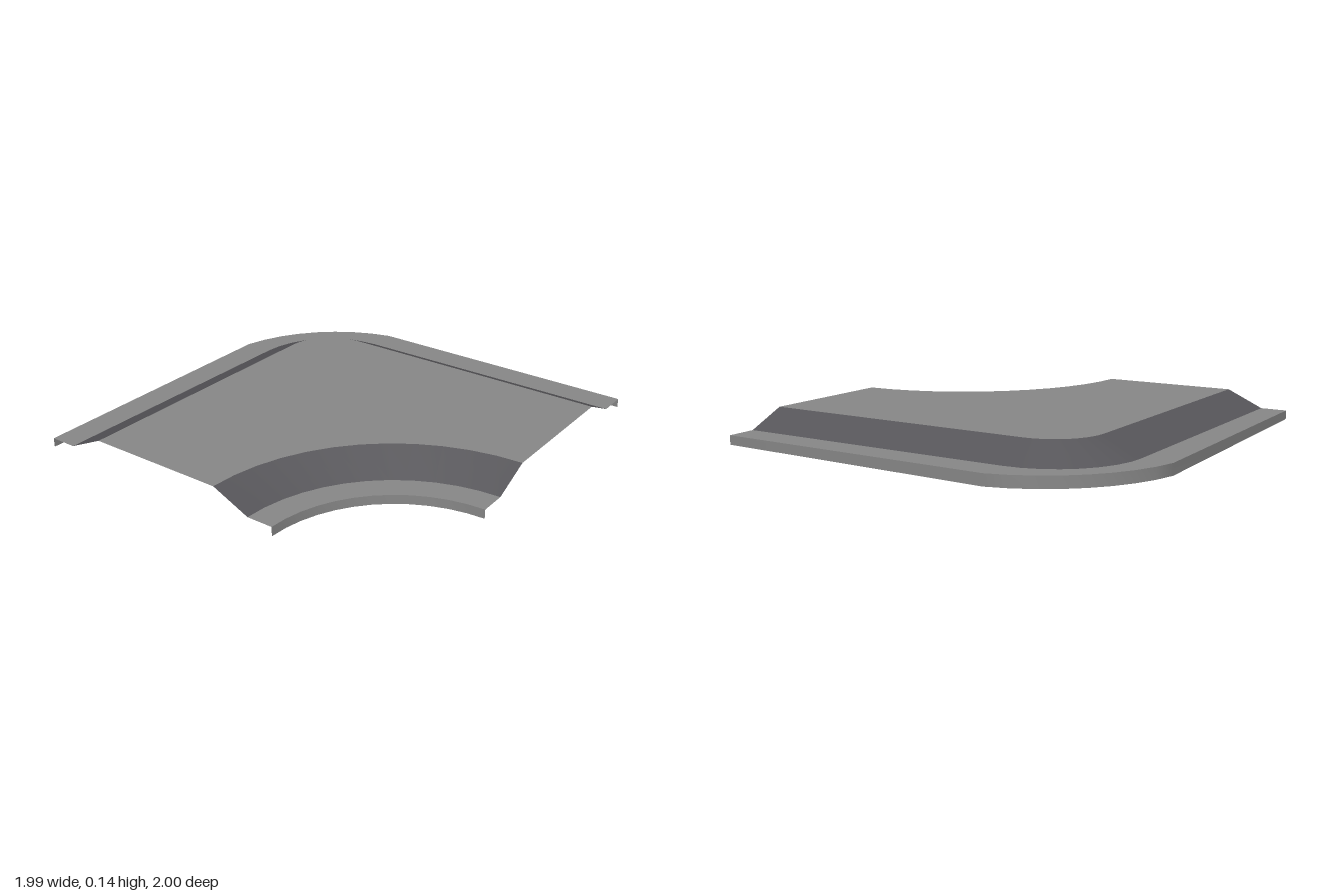
import * as THREE from 'three';

const END_X = 0.99, END_Z = 1;
const LIP_Y = 0.055, DECK_Y = 0.14;

// Points on an arc, angles in degrees measured from -x towards -z
function arc(cx, cz, r, from, to, steps, y) {
  const pts = [];
  for (let i = 0; i <= steps; i++) {
    const t = THREE.MathUtils.degToRad(from + ((to - from) * i) / steps);
    pts.push(new THREE.Vector3(cx - r * Math.cos(t), y, cz - r * Math.sin(t)));
  }
  return pts;
}

// Outer rail: straight left side, rounded back corner, straight back side
function outerRail(startX, endZ, c, r, trim, y, endY = y) {
  return [
    new THREE.Vector3(startX, endY, END_Z),
    ...arc(c, c, r, trim, 90 - trim, 8, y),
    new THREE.Vector3(END_X, endY, endZ),
  ];
}

const innerRail = (r, y) => arc(END_X, END_Z, r, 0, 90, 12, y);

// Surface between two rails with the same number of points
function strip(a, b) {
  const pos = [], index = [];
  a.forEach((p, i) => {
    pos.push(...p.toArray(), ...b[i].toArray());
    if (i < a.length - 1) {
      const k = i * 2;
      index.push(k, k + 1, k + 3, k, k + 3, k + 2);
    }
  });
  const g = new THREE.BufferGeometry();
  g.setAttribute('position', new THREE.Float32BufferAttribute(pos, 3));
  g.setIndex(index);
  g.computeVertexNormals();
  return g;
}

export function createModel() {
  const group = new THREE.Group();
  const grey = new THREE.MeshStandardMaterial({ color: 0x888888, side: THREE.DoubleSide });
  grey.name = 'light grey';
  const dark = new THREE.MeshStandardMaterial({ color: 0x565559, side: THREE.DoubleSide });
  dark.name = 'dark grey';

  const add = (name, geometry, material) => {
    const mesh = new THREE.Mesh(geometry, material);
    mesh.name = name;
    group.add(mesh);
  };

  // Rails of the outer edge, from the skirt foot up to the deck
  const outer = [
    outerRail(-0.99, -0.99, -0.27, 0.748, 12.4, 0, 0.01),
    outerRail(-0.99, -0.99, -0.27, 0.748, 12.4, LIP_Y),
    outerRail(-0.855, -0.845, -0.425, 0.425, 0, LIP_Y),
    outerRail(-0.67, -0.66, -0.415, 0.25, 0, DECK_Y),
  ];
  // Rails of the inner curve, from the deck down to the skirt foot
  const inner = [
    innerRail(0.957, DECK_Y),
    innerRail(0.77, LIP_Y),
    innerRail(0.64, LIP_Y),
    innerRail(0.64, 0.01),
  ];

  add('outerSkirt', strip(outer[0], outer[1]), grey);
  add('outerLip', strip(outer[1], outer[2]), grey);
  add('outerSlope', strip(outer[2], outer[3]), dark);
  add('innerSlope', strip(inner[0], inner[1]), dark);
  add('innerLip', strip(inner[1], inner[2]), grey);
  add('innerSkirt', strip(inner[2], inner[3]), grey);

  // Flat raised deck between the two slopes
  const outline = [...outer[3], ...inner[0].slice().reverse()];
  const deck = new THREE.ShapeGeometry(
    new THREE.Shape(outline.map((p) => new THREE.Vector2(p.x, -p.z)))
  );
  deck.rotateX(-Math.PI / 2).translate(0, DECK_Y, 0);
  add('deck', deck, grey);

  return group;
}
